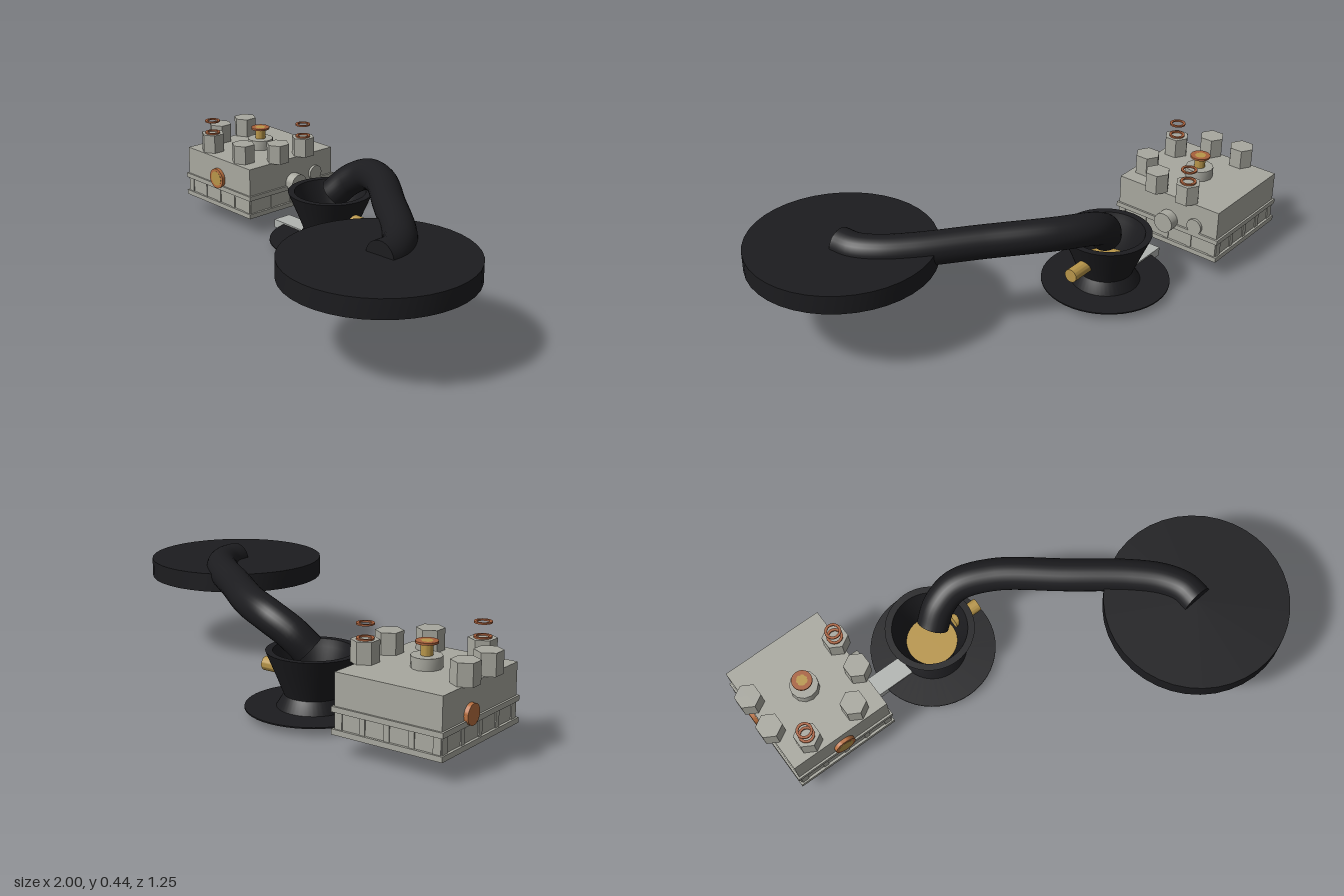
import * as THREE from 'three';
import { toCreasedNormals } from 'three/addons/utils/BufferGeometryUtils.js';

const mat = (color, side = THREE.FrontSide) => new THREE.MeshStandardMaterial({ color, side });

export function createModel() {
  const model = new THREE.Group();
  const grey = mat(0xa8a89f), steel = mat(0xb2b5b2), copper = mat(0xb87040), brass = mat(0xb8964a);
  const black = mat(0x1c1c1f), blackShell = mat(0x1c1c1f, THREE.DoubleSide);

  const add = (parent, name, geometry, material, x = 0, y = 0, z = 0) => {
    const mesh = new THREE.Mesh(geometry, material);
    mesh.name = name;
    mesh.position.set(x, y, z);
    parent.add(mesh);
    return mesh;
  };
  // Box given by its limits
  const block = (parent, name, m, x0, x1, y0, y1, z0, z1) =>
    add(parent, name, new THREE.BoxGeometry(x1 - x0, y1 - y0, z1 - z0), m, (x0 + x1) / 2, (y0 + y1) / 2, (z0 + z1) / 2);
  // Cylinder centred on a point, along a chosen axis
  const rod = (parent, name, m, r, len, x, y, z, axis = 'y', sides = 28) => {
    const g = toCreasedNormals(new THREE.CylinderGeometry(r, r, len, sides), 0.6);
    if (axis === 'x') g.rotateZ(Math.PI / 2);
    if (axis === 'z') g.rotateX(Math.PI / 2);
    return add(parent, name, g, m, x, y, z);
  };
  // Flat washer with a square section
  const washer = (parent, name, r, hole, h, x, y, z) => {
    const g = new THREE.LatheGeometry([[hole, 0], [r, 0], [r, h], [hole, h], [hole, 0]]
      .map(p => new THREE.Vector2(...p)), 28);
    return add(parent, name, toCreasedNormals(g, 0.6), mat(0xa8603c, THREE.DoubleSide), x, y, z);
  };

  // Valve block: body, flanges and ribs
  const valve = new THREE.Group();
  valve.name = 'valveBlock';
  model.add(valve);
  const X0 = -0.98, X1 = -0.54, Z0 = -0.625, Z1 = -0.137;
  block(valve, 'body', grey, X0 + 0.008, X1 - 0.008, 0.17, 0.295, Z0 + 0.008, Z1 - 0.008);
  block(valve, 'core', grey, X0 + 0.018, X1 - 0.018, 0.09, 0.165, Z0 + 0.018, Z1 - 0.018);
  block(valve, 'baseFlange', grey, X0, X1, 0.075, 0.095, Z0, Z1);
  block(valve, 'upperFlange', grey, X0, X1, 0.155, 0.175, Z0, Z1);
  for (let i = 0; i < 5; i++) {
    const w = i % 4 ? 0.022 : 0.03;
    const x = X0 + 0.025 + (X1 - X0 - 0.05) * i / 4, z = Z0 + 0.025 + (Z1 - Z0 - 0.05) * i / 4;
    block(valve, 'endRib', grey, x - w / 2, x + w / 2, 0.095, 0.155, Z0 + 0.006, Z1 - 0.006);
    block(valve, 'sideRib', grey, X0 + 0.006, X1 - 0.006, 0.095, 0.155, z - w / 2, z + w / 2);
  }

  // Hexagonal bosses on the top
  const bosses = [[-0.957, -0.46], [-0.957, -0.315], [-0.56, -0.46], [-0.56, -0.315], [-0.865, -0.2], [-0.655, -0.2]];
  for (const [x, z] of bosses) rod(valve, 'hexBoss', grey, 0.051, 0.082, x, 0.334, z, 'y', 6);
  for (const [x, z] of [bosses[2], bosses[4]]) {
    washer(valve, 'seatedWasher', 0.032, 0.022, 0.006, x, 0.375, z);
    washer(valve, 'liftedWasher', 0.032, 0.022, 0.006, x, 0.427, z);
  }

  // Central stem
  rod(valve, 'stemBoss', grey, 0.056, 0.045, -0.76, 0.315, -0.385, 'y', 12);
  rod(valve, 'stem', brass, 0.022, 0.06, -0.76, 0.358, -0.385);
  washer(valve, 'stemCollar', 0.04, 0.02, 0.008, -0.76, 0.38, -0.385);

  // Ports on the sides
  rod(valve, 'frontPort', copper, 0.044, 0.03, -0.76, 0.205, -0.145, 'z');
  rod(valve, 'frontPortCore', brass, 0.032, 0.032, -0.76, 0.205, -0.145, 'z');
  rod(valve, 'rightPort', copper, 0.038, 0.03, -0.973, 0.192, -0.45, 'x');
  rod(valve, 'leftOutlet', grey, 0.042, 0.06, -0.535, 0.185, -0.39, 'x');
  rod(valve, 'leftPlug', grey, 0.033, 0.02, -0.546, 0.2, -0.515, 'x');

  // Flared hollow housing with a thin round plate at its foot
  const CX = -0.228, CZ = -0.315;
  const housing = new THREE.Group();
  housing.name = 'housing';
  housing.position.set(CX, 0, CZ);
  model.add(housing);
  const profile = [[0.12, 0], [0.153, 0], [0.15, 0.015], [0.11, 0.08], [0.143, 0.163], [0.168, 0.222], [0.177, 0.245],
    [0.15, 0.245], [0.142, 0.215], [0.1, 0.1], [0.1, 0.07], [0.12, 0.02], [0.12, 0]];
  const shell = new THREE.LatheGeometry(profile.map(p => new THREE.Vector2(...p)), 48);
  add(housing, 'shell', toCreasedNormals(shell, 0.6), blackShell);
  const plate = new THREE.LatheGeometry([[0.13, 0.029], [0.255, 0.029], [0.255, 0.034], [0.13, 0.034]]
    .map(p => new THREE.Vector2(...p)), 48);
  add(housing, 'footPlate', toCreasedNormals(plate, 0.6), blackShell);
  rod(housing, 'innerDisc', brass, 0.103, 0.012, 0, 0.1, 0, 'y', 40);
  rod(model, 'sidePlug', brass, 0.027, 0.12, -0.06, 0.152, CZ, 'x');
  block(model, 'lever', steel, -0.54, -0.36, 0.004, 0.04, -0.36, -0.275);

  // Bent hose with closed ends
  const path = new THREE.CatmullRomCurve3([
    [-0.21, 0.24, -0.32], [-0.15, 0.305, -0.352], [-0.06, 0.352, -0.36], [0.08, 0.372, -0.3], [0.3, 0.374, -0.13],
    [0.5, 0.373, 0.025], [0.59, 0.372, 0.115], [0.632, 0.371, 0.19], [0.638, 0.371, 0.26],
  ].map(p => new THREE.Vector3(...p)));
  const R = 0.064;
  add(model, 'hose', new THREE.TubeGeometry(path, 72, R, 28), black);
  for (const t of [0, 1]) {
    const p = path.getPointAt(t);
    const cap = add(model, 'hoseEnd', new THREE.CircleGeometry(R, 28), blackShell, p.x, p.y, p.z);
    cap.lookAt(p.clone().add(path.getTangentAt(t).multiplyScalar(t ? 1 : -1)));
  }

  // Large round filter
  rod(model, 'filterDisc', black, 0.36, 0.075, 0.636, 0.3425, 0.26, 'y', 40);

  return model;
}
